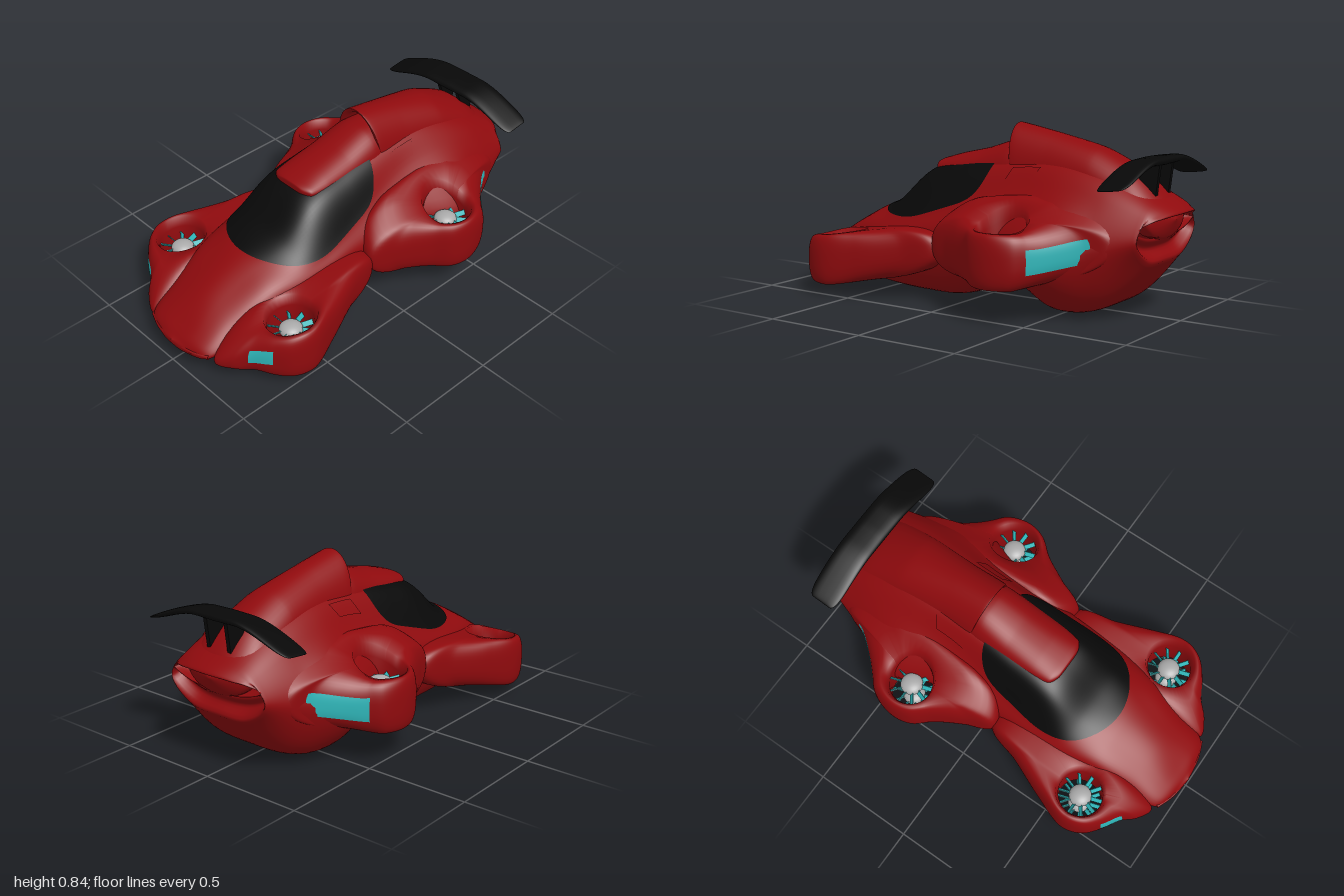
import * as THREE from 'three';
import { mergeVertices } from 'three/addons/utils/BufferGeometryUtils.js';

const mat = (color) => new THREE.MeshStandardMaterial({ color, side: THREE.DoubleSide });
const V = (x, y, z) => new THREE.Vector3(x, y, z);
const signedPow = (n, p) => Math.sign(n) * Math.abs(n) ** p;

// Smooth grid surface from f(u, v); its front faces along du x dv
function surface(f, nu, nv, flip = false) {
  const pos = [], idx = [];
  for (let i = 0; i <= nu; i++)
    for (let j = 0; j <= nv; j++) pos.push(...f(i / nu, j / nv).toArray());
  for (let i = 0; i < nu; i++)
    for (let j = 0; j < nv; j++) {
      const a = i * (nv + 1) + j, b = a + nv + 1;
      idx.push(...(flip ? [a, a + 1, b, b, a + 1, b + 1] : [a, b, a + 1, b, b + 1, a + 1]));
    }
  let g = new THREE.BufferGeometry();
  g.setAttribute('position', new THREE.Float32BufferAttribute(pos, 3));
  g.setIndex(idx);
  g = mergeVertices(g, 1e-5);
  g.computeVertexNormals();
  return g;
}

// Hull stations: z, keel y, keel w, waist w, y, shoulder w, y, roof w, y, crown y
const stations = [
  [1.0, .105, 0, 0, .11, 0, .115, 0, .12, .125],
  [.985, .085, .07, .1, .105, .085, .12, .05, .13, .135],
  [.94, .075, .15, .205, .115, .18, .145, .1, .17, .175],
  [.8, .06, .18, .24, .17, .2, .23, .1, .27, .285],
  [.62, .035, .21, .27, .23, .24, .315, .12, .365, .383],
  [.45, .018, .24, .3, .28, .268, .348, .15, .435, .455],
  [.27, .003, .24, .31, .31, .272, .385, .155, .575, .605],
  [.05, .012, .24, .32, .32, .25, .455, .15, .625, .665],
  [-.25, .11, .24, .36, .32, .22, .545, .135, .665, .72],
  [-.5, .008, .27, .44, .28, .237, .56, .135, .665, .72],
  [-.72, .055, .24, .345, .32, .235, .535, .15, .61, .66],
  [-.92, .26, .17, .28, .37, .22, .475, .15, .52, .54],
  [-1.0, .365, .16, .26, .42, .21, .455, .12, .473, .478],
  [-.87, .385, .13, .23, .43, .19, .45, .1, .46, .465],
];
stations.push([-.87, .43, 0, 0, .43, 0, .43, 0, .43, .43]);
const rails = [
  (s) => [0, s[1]], (s) => [s[2], s[1] + .14 * (s[4] - s[1])], (s) => [s[3], s[4]],
  (s) => [s[5], s[6]], (s) => [s[7], s[8]], (s) => [0, s[9]],
].map((p) => new THREE.CatmullRomCurve3(stations.map((s) => V(...p(s), s[0])), false, 'catmullrom'));

function hullPoint(u, v, swell = 1) {
  const half = rails.map((r) => r.getPoint(u));
  const mirrored = half.slice(1, 5).reverse().map((p) => V(-p.x, p.y, p.z));
  const p = new THREE.CatmullRomCurve3([...half, ...mirrored], true).getPoint(v);
  // Tail rim bows in plan and leans forward below its lip
  const k = 1 - THREE.MathUtils.smoothstep(p.z, -1, -.92);
  p.z += k * (.9 * p.x * p.x + .75 * Math.max(0, .47 - p.y));
  return V(p.x * swell, .25 + (p.y - .25) * swell, p.z);
}
function hullU(z) {
  let lo = 0, hi = 12 / 14;
  for (let i = 0; i < 30; i++) {
    const m = (lo + hi) / 2;
    if (rails[0].getPoint(m).z > z) lo = m; else hi = m;
  }
  return lo;
}

// Loft of rounded rings along z: each ring is [z, centre y, half width, height, top lean]
function ringLoft(rings, power) {
  const c = rings.map((r) => V(r[0], r[1], r[4] || 0)), d = rings.map((r) => V(r[2], r[3], 0));
  const cc = new THREE.CatmullRomCurve3(c, false, 'catmullrom', .3);
  const dc = new THREE.CatmullRomCurve3(d, false, 'catmullrom', .3);
  return surface((u, v) => {
    const a = v * Math.PI * 2, o = cc.getPoint(u), r = dc.getPoint(u), s = signedPow(Math.sin(a), power);
    return V(r.x * signedPow(Math.cos(a), power), o.y + r.y * s, o.x + o.z * Math.max(0, s));
  }, rings.length * 8, 48);
}

// Fenders: a plan outline wrapped around a vertical fan duct
const fenders = [
  {
    name: 'front', c: [.39, .62],
    outline: [[.22, .93], [.3, .9], [.36, .84], [.45, .785], [.52, .72], [.55, .62], [.5, .45], [.42, .25], [.36, .08], [.2, .1], [.18, .5]],
    top: (x, z) => (z < .62 ? .298 + (.62 - z) * .14 : .298 - 1.5 * (z - .62) ** 2),
    bottom: (x, z) => .055 + Math.max(0, .6 - z) * .15,
    light: [1.95, 3.05, -.06, .58],
  },
  {
    name: 'rear', c: [.43, -.34],
    outline: [[.36, .1], [.42, -.02], [.5, -.17], [.57, -.26], [.59, -.36], [.56, -.47], [.5, -.53], [.42, -.61], [.35, -.7], [.3, -.82], [.2, -.8], [.2, -.3], [.25, .05]],
    top: (x, z) => .405 + 1.1 * Math.max(0, .5 - x) ** 1.5 - .2 * Math.max(0, z + .1) - .15 * Math.max(0, -.5 - z),
    bottom: (x, z) => .155 + .25 * Math.max(0, -.45 - z),
    light: [5.8, 8.2, -.42, .42],
  },
];
const DUCT = .122, THROAT = .107;

function fenderSurface(f, side) {
  const curve = new THREE.CatmullRomCurve3(f.outline.map(([x, z]) => V(x, 0, z)), true);
  const at = (t, s, radius) => {
    const o = curve.getPoint(t), a = Math.atan2(o.z - f.c[1], o.x - f.c[0]);
    const inner = V(f.c[0] + radius * Math.cos(a), 0, f.c[1] + radius * Math.sin(a));
    return inner.lerp(o, s);
  };
  const skin = (t, a, swell = 1) => {
    const p = at(t, Math.max(0, Math.cos(a)) ** .6 * swell, DUCT);
    const lo = f.bottom(p.x, p.z), hi = f.top(p.x, p.z);
    return V(side * p.x, (lo + hi) / 2 + (hi - lo) / 2 * signedPow(Math.sin(a), .8), p.z);
  };
  const shell = (t, v) => {
    const j = Math.round(v * 24);
    if (j <= 20) return skin(t, (j / 20 - .5) * Math.PI);
    if (j === 24) return skin(t, -Math.PI / 2);
    const p = at(t, 0, THROAT), lo = f.bottom(p.x, p.z) + .03, hi = f.top(p.x, p.z) - .05;
    return V(side * p.x, hi + (lo - hi) * (j - 21) / 2, p.z);
  };
  return { skin, shell };
}

function createFan(blade, hub) {
  const fan = new THREE.Group();
  const ball = new THREE.Mesh(new THREE.SphereGeometry(.055, 24, 16), hub);
  ball.scale.y = .6;
  ball.name = 'fanHub';
  fan.add(ball);
  const geo = new THREE.BoxGeometry(.07, .004, .026);
  geo.rotateX(1).translate(.075, 0, 0);
  for (let i = 0; i < 10; i++) {
    const b = new THREE.Mesh(geo, blade);
    b.rotation.y = i * Math.PI / 5;
    b.name = 'fanBlade';
    fan.add(b);
  }
  return fan;
}

export function createModel() {
  const model = new THREE.Group();
  const red = mat(0x8f0a0d), black = mat(0x080808), teal = mat(0x2fb5b8), grey = mat(0xaaaaaa);
  const add = (name, geo, m) => {
    const mesh = new THREE.Mesh(geo, m);
    mesh.name = name;
    model.add(mesh);
  };

  add('hull', surface((u, v) => hullPoint(u, v), 140, 80), red);

  // Dark canopy laid over the hull, blunter at its rear end
  add('canopy', surface((a, b) => {
    const e = -Math.cos(a * Math.PI);
    const reach = .2 * (1 - Math.abs(e) ** (e > 0 ? 8 : 2.6)) ** .5;
    return hullPoint(hullU(.228 - .345 * e), .5 + (b * 2 - 1) * reach, 1.012);
  }, 60, 48), black);

  // Roof strip, then the spine with its small forward-facing intake
  add('roof', ringLoft([
    [.27, .62, 0, 0], [.268, .62, .08, .02], [.24, .61, .125, .042], [.15, .595, .143, .083],
    [0, .59, .15, .122], [-.15, .59, .152, .168], [-.3, .59, .14, .17],
  ], .85), red);
  add('spine', ringLoft([
    [-.3, .72, 0, 0], [-.3, .68, .07, .11], [-.2, .62, .11, .195, .03], [-.19, .6, .145, .237, .038],
    [-.22, .6, .15, .232, .03], [-.36, .6, .15, .2], [-.6, .58, .165, .165],
    [-.8, .5, .18, .15], [-.92, .45, .17, .09], [-.97, .45, 0, 0],
  ], 1), red);

  // Lip across the nose
  const lip = [[-.2, .115, .943], [-.11, .112, .975], [0, .11, .985], [.11, .112, .975], [.2, .115, .943]];
  add('noseLip', new THREE.TubeGeometry(new THREE.CatmullRomCurve3(lip.map((p) => V(...p))), 32, .011, 10), red);

  for (const side of [1, -1]) {
    const label = side > 0 ? 'Left' : 'Right';

    // Flush panel behind the canopy
    add('sidePanel' + label, surface((a, b) => {
      const v = .325 + .05 * b;
      return hullPoint(hullU(-.19 - .15 * a - .03 * b), side > 0 ? v : 1 - v, 1.015);
    }, 8, 6, side < 0), red);

    for (const f of fenders) {
      const { skin, shell } = fenderSurface(f, side), n = f.outline.length;
      add(f.name + 'Fender' + label, surface(shell, 120, 24, side < 0), red);
      const [t0, t1, a0, a1] = f.light;
      add(f.name + 'Light' + label, surface((a, b) =>
        skin((t0 + (t1 - t0) * a) / n, a0 + (a1 - a0) * b, 1.03), 16, 10, side < 0), teal);

      // Fans near the top and bottom of each duct
      for (const y of [f.top(...f.c) - .085, f.bottom(...f.c) + .035]) {
        const fan = createFan(teal, grey);
        fan.name = f.name + 'Fan' + label;
        fan.position.set(side * f.c[0], y, f.c[1]);
        model.add(fan);
      }
    }

    // Wing strut, tapering downwards
    const s = new THREE.Shape([[.79, .7], [.92, .71], [.9, .55], [.85, .55]].map((p) => new THREE.Vector2(...p)));
    const strut = new THREE.ExtrudeGeometry(s, { depth: .02, bevelEnabled: false });
    strut.rotateY(Math.PI / 2).translate(side * .06 - .01, 0, 0);
    add('wingStrut' + label, strut, black);
  }

  // Rear wing drooping towards its tips
  add('rearWing', surface((u, v) => {
    const k = Math.sin((u - .5) * Math.PI), a = v * Math.PI * 2, m = Math.abs(k);
    const end = Math.sqrt(Math.max(0, 1 - m ** 12));
    const dz = .077 * (.6 + .4 * end) * signedPow(Math.cos(a), .6);
    const y = .7 - .11 * THREE.MathUtils.smoothstep(m, .25, 1.3) - dz * .12;
    return V(.41 * k, y + .023 * (1 - .5 * m) * end * Math.sin(a), -.86 + dz);
  }, 64, 32), black);

  return model;
}
